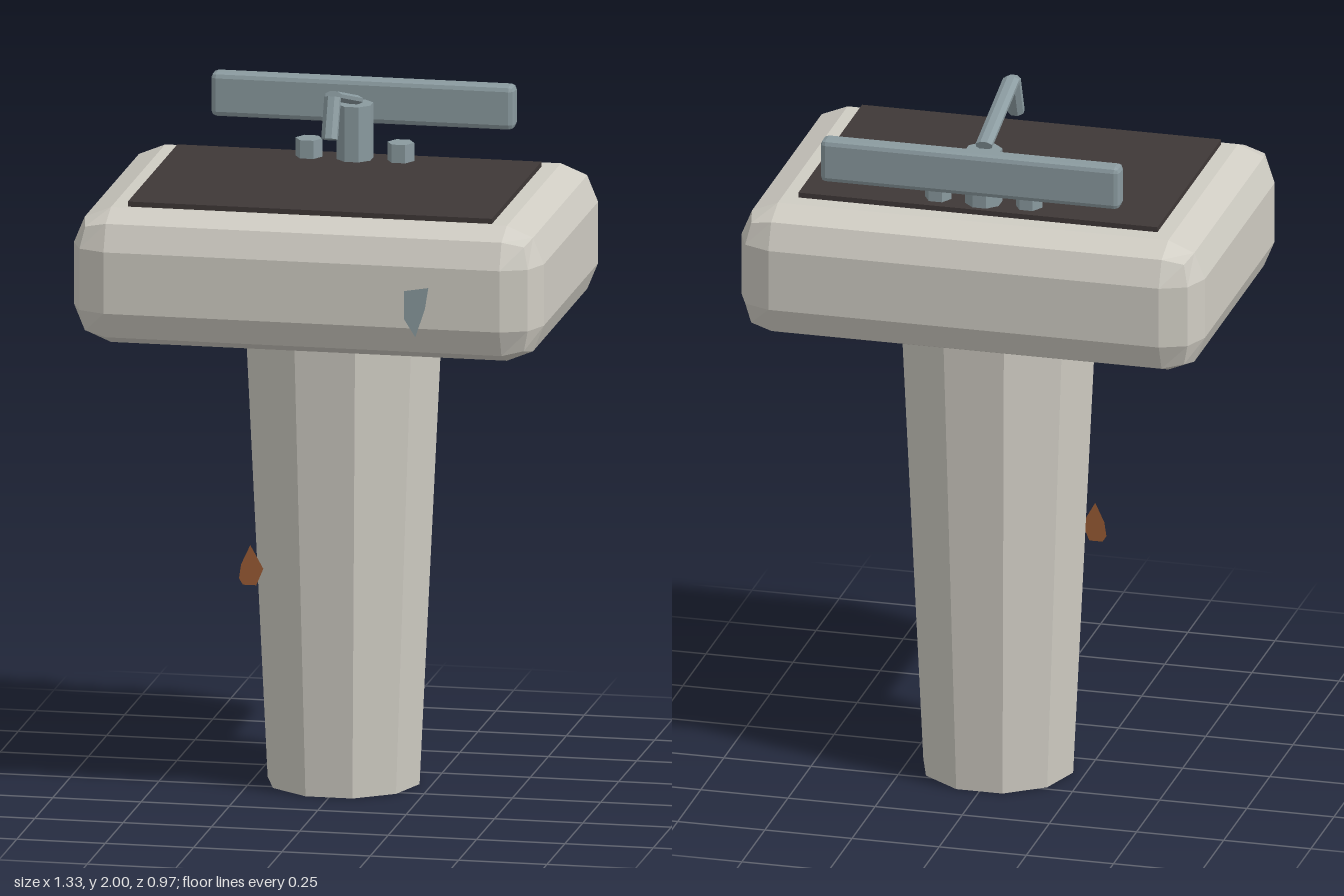
import * as THREE from 'three';
import { RoundedBoxGeometry } from 'three/addons/geometries/RoundedBoxGeometry.js';

function material(name, color, side = THREE.FrontSide) {
  const m = new THREE.MeshStandardMaterial({ color, flatShading: true, side });
  m.name = name;
  return m;
}

export function createModel() {
  const group = new THREE.Group();
  const ceramic = material('ceramic', 0xcfccc3);
  const metal = material('metal', 0x8a9a9f, THREE.DoubleSide);
  const dark = material('darkBowl', 0x3f3837);
  const rust = material('rust', 0x9a5c35, THREE.DoubleSide);

  function add(name, geometry, mat, x = 0, y = 0, z = 0) {
    const mesh = new THREE.Mesh(geometry, mat);
    mesh.name = name;
    mesh.position.set(x, y, z);
    group.add(mesh);
    return mesh;
  }

  // Upright prism standing on y0; turn sets the angle of its first corner
  function prism(name, mat, rTop, rBottom, y0, y1, sides, turn, x, z) {
    const g = new THREE.CylinderGeometry(rTop, rBottom, y1 - y0, sides);
    g.rotateY(turn);
    return add(name, g, mat, x, (y0 + y1) / 2, z);
  }

  // Eight-sided rod in the x = 0 plane between two [y, z] points
  function rod(name, a, b, radius, flatten) {
    const dy = b[0] - a[0], dz = b[1] - a[1];
    const g = new THREE.CylinderGeometry(radius, radius, Math.hypot(dy, dz), 8);
    g.rotateY(Math.PI / 8);
    g.scale(1, 1, flatten);
    g.rotateX(Math.atan2(dz, dy));
    return add(name, g, metal, 0, (a[0] + b[0]) / 2, (a[1] + b[1]) / 2);
  }

  // Flat irregular patch facing +z
  function patch(name, points, mat, z) {
    const shape = new THREE.Shape(points.map(([x, y]) => new THREE.Vector2(x, y)));
    return add(name, new THREE.ShapeGeometry(shape), mat, 0, 0, z);
  }

  // Pedestal and chamfered basin
  prism('pedestal', ceramic, 0.28, 0.215, 0, 1.345, 10, Math.PI / 2, 0, -0.11);
  add('basin', new RoundedBoxGeometry(1.33, 0.385, 0.965, 1, 0.105), ceramic, 0, 1.531, -0.004);
  add('bowlOpening', new THREE.BoxGeometry(1.03, 0.016, 0.69), dark, 0, 1.73, 0.015);

  // Tap body, knobs and bent spout
  prism('tapBody', metal, 0.052, 0.052, 1.735, 1.895, 8, Math.PI / 8, 0, -0.267);
  for (const side of [-1, 1]) {
    prism(side > 0 ? 'leftKnob' : 'rightKnob', metal, 0.038, 0.038, 1.735, 1.79, 6, Math.PI / 2, side * 0.13, -0.267);
  }
  rod('spoutArm', [1.905, -0.266], [1.987, 0.032], 0.025, 0.55);
  rod('spoutTip', [1.985, 0.043], [1.875, 0.086], 0.024, 0.9);

  // Rail floating behind the tap
  add('backRail', new RoundedBoxGeometry(0.858, 0.125, 0.06, 1, 0.015), metal, 0, 1.875, -0.395);

  // Chipped patch on the basin and rust flake on the pedestal
  patch('basinChip', [[0.291, 1.55], [0.291, 1.47], [0.323, 1.42], [0.35, 1.5], [0.36, 1.562]], metal, 0.482);
  patch('rustFlake', [[-0.217, 0.716], [-0.243, 0.66], [-0.249, 0.62], [-0.238, 0.602],
    [-0.2, 0.602], [-0.18, 0.65]], rust, 0.122);

  return group;
}
